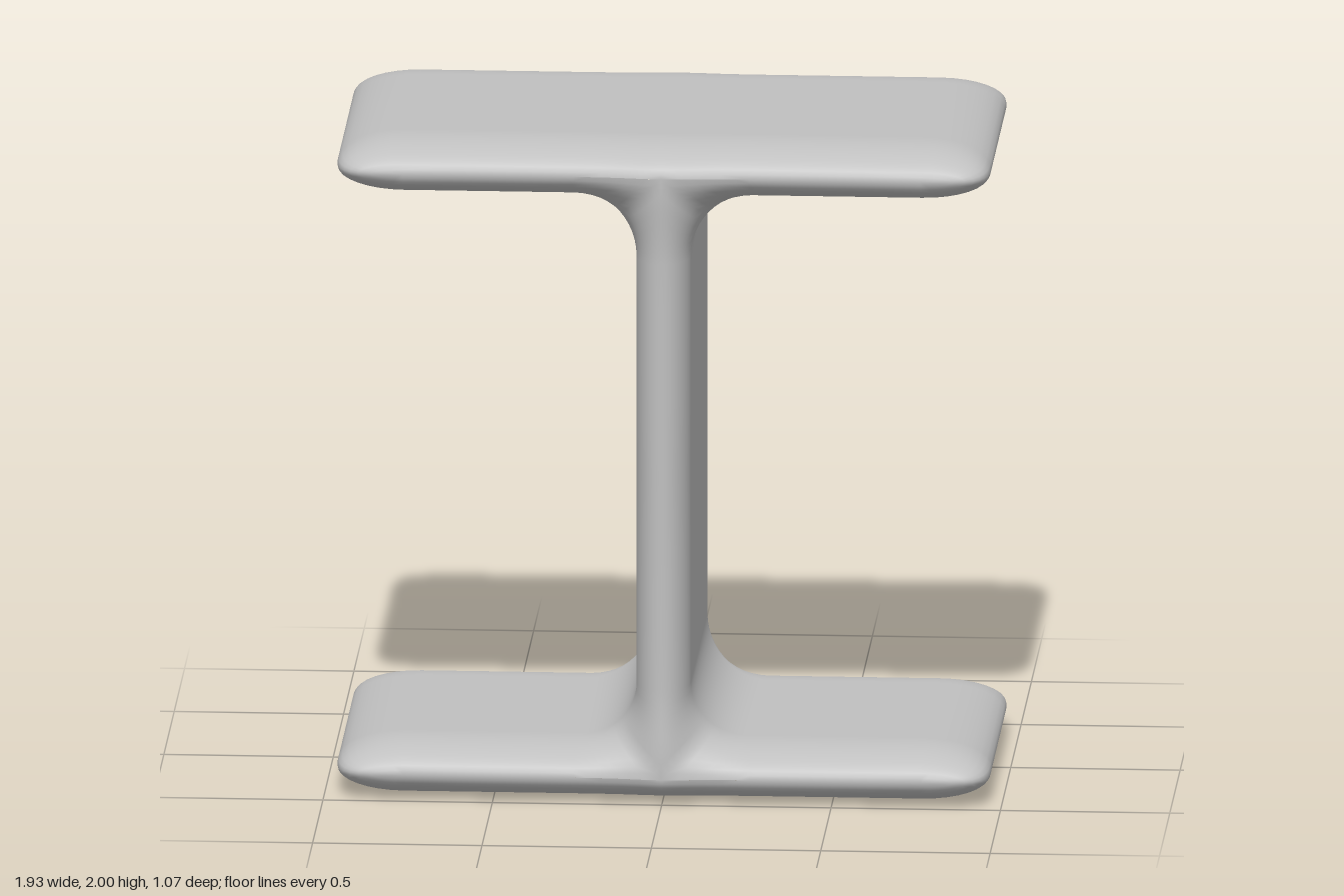
import * as THREE from 'three';
import { mergeVertices } from 'three/addons/utils/BufferGeometryUtils.js';

const HALF_WIDTH = 0.965, HALF_DEPTH = 0.52, HALF_FLANGE = 0.085, HALF_WEB = 0.08;
const END = 0.2, FILLET = 0.18;

// Quarter outline of the I section: surface point, core point and edge roundness
function quarterOutline() {
  const pts = [];
  const inner = HALF_WIDTH - END;
  const fx = HALF_WEB + FILLET, fy = 2 * HALF_FLANGE + FILLET;
  const add = (x, y, mx, my, round, end = false) => pts.push({ x, y, mx, my, round, end });

  // outer face of the flange
  for (const x of [0, 0.06, 0.12, 0.18, fx, 0.4, 0.6]) add(x, 0, x, HALF_FLANGE, 0.2);
  // rounded flange tip
  for (let i = 0; i <= 16; i++) {
    const a = -Math.PI / 2 + (Math.PI * i) / 16;
    add(inner + END * Math.cos(a), HALF_FLANGE + HALF_FLANGE * Math.sin(a), inner, HALF_FLANGE, 0.2, true);
  }
  // inner face of the flange
  for (const x of [0.6, 0.4]) add(x, 2 * HALF_FLANGE, x, HALF_FLANGE, 0.2);
  // fillet into the web; its core follows the flange, then the web
  for (let i = 0; i <= 12; i++) {
    const u = i / 12, a = -Math.PI / 2 - (u * Math.PI) / 2;
    const mx = fx * Math.max(0, 1 - 2 * u);
    const my = HALF_FLANGE + (fy - HALF_FLANGE) * Math.max(0, 2 * u - 1);
    add(fx + FILLET * Math.cos(a), fy + FILLET * Math.sin(a), mx, my, 0.2 - 0.08 * u);
  }
  // web up to mid height
  for (const y of [0.5, 0.75, 1]) add(HALF_WEB, y, 0, y, 0.12);
  return pts;
}

// Rounded position of an outline point; t runs from the back edge to the front edge
function surfacePoint(p, side, t) {
  const s = Math.sin(t), c = t >= Math.PI / 2 ? 0 : Math.cos(t);
  const across = p.end ? Math.pow(Math.max(0, 1 - s ** 4), 0.25) : c;
  const x = p.mx + (p.x - p.mx) * across;
  const y = p.my + (p.y - p.my) * c;
  // slight swelling where web and flange meet
  const swell = 0.016 * Math.exp(-((x / 0.11) ** 2) - ((y - 0.11) / 0.15) ** 2);
  return [x, y, side * (HALF_DEPTH + swell - p.round * (1 - s))];
}

function beamGeometry() {
  const outline = quarterOutline();
  const STEPS = 10, rows = [];
  for (let j = STEPS; j >= 0; j--) rows.push([-1, (j / STEPS) * Math.PI / 2]);
  for (let j = 0; j <= STEPS; j++) rows.push([1, (j / STEPS) * Math.PI / 2]);

  const positions = [], index = [];
  // mirror the quarter left-right and top-bottom
  for (const sx of [1, -1]) for (const sy of [1, -1]) {
    const base = positions.length / 3, n = outline.length;
    for (const [side, t] of rows) for (const p of outline) {
      const [x, y, z] = surfacePoint(p, side, t);
      positions.push(sx * x, sy > 0 ? y : 2 - y, z);
    }
    for (let j = 0; j < rows.length - 1; j++) for (let i = 0; i < n - 1; i++) {
      const a = base + j * n + i, b = a + 1, c = b + n, d = a + n;
      if (sx * sy > 0) index.push(a, b, c, a, c, d);
      else index.push(a, c, b, a, d, c);
    }
  }
  const raw = new THREE.BufferGeometry();
  raw.setAttribute('position', new THREE.Float32BufferAttribute(positions, 3));
  raw.setIndex(index);
  const geometry = mergeVertices(raw, 1e-4);
  geometry.computeVertexNormals();
  return geometry;
}

export function createModel() {
  const steel = new THREE.MeshStandardMaterial({ color: 0xc0c0c0 });
  steel.name = 'grey steel';
  const beam = new THREE.Mesh(beamGeometry(), steel);
  beam.name = 'beam';
  const group = new THREE.Group();
  group.name = 'steelBeam';
  group.add(beam);
  return group;
}
